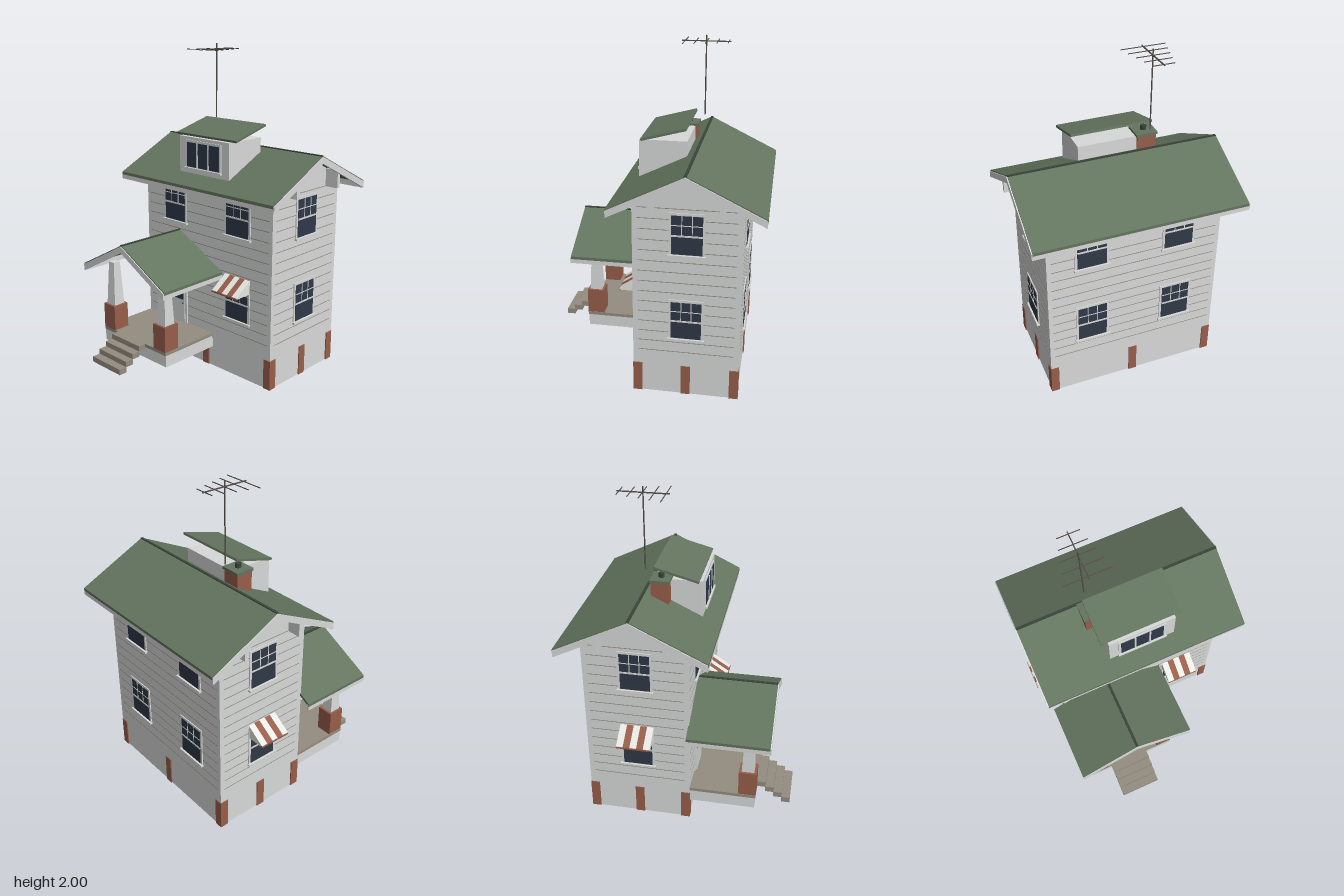
import * as THREE from 'three';

const mat = (name, color) => {
  const m = new THREE.MeshStandardMaterial({ color });
  m.name = name;
  return m;
};

export function createModel() {
  const wall = mat('pale wall', 0xd8dad9);
  const roof = mat('green shingle', 0x64755f);
  const ridge = mat('dark ridge', 0x39443a);
  const brick = mat('brick', 0x985e4a);
  const stone = mat('stone tan', 0x948d80);
  const glass = mat('dark glass', 0x2f3947);
  const metal = mat('dark metal', 0x55504c);
  const canvas = mat('white canvas', 0xe9e9e5);

  const house = new THREE.Group();
  house.name = 'house';

  const add = (parent, name, geo, material, x = 0, y = 0, z = 0) => {
    const m = new THREE.Mesh(geo, material);
    m.name = name;
    m.position.set(x, y, z);
    parent.add(m);
    return m;
  };
  // box given by its minimum and maximum corners
  const box = (parent, name, material, x0, x1, y0, y1, z0, z1) =>
    add(parent, name, new THREE.BoxGeometry(x1 - x0, y1 - y0, z1 - z0), material,
      (x0 + x1) / 2, (y0 + y1) / 2, (z0 + z1) / 2);
  const group = (parent, name, x, y, z, turn = 0) => {
    const g = new THREE.Group();
    g.name = name;
    g.position.set(x, y, z);
    g.rotation.y = turn;
    parent.add(g);
    return g;
  };
  const prism = (points, depth) => new THREE.ExtrudeGeometry(
    new THREE.Shape(points.map(p => new THREE.Vector2(...p))), { depth, bevelEnabled: false });
  const chevron = (half, top, eave, t, depth) => prism(
    [[-half, eave], [-half, eave - t], [0, top - t], [half, eave - t], [half, eave], [0, top]], depth);

  // gable roof running along local z from z0 to z1
  function gableRoof(g, half, top, eave, z0, z1, ends) {
    const t = 0.018;
    add(g, 'roofSlopes', chevron(half, top, eave, t, z1 - z0), roof, 0, 0, z0);
    for (const end of ends)
      add(g, 'rakeBoard', chevron(half - 0.003, top - 0.006, eave - 0.006, 0.04, 0.014), wall, 0, 0, end > 0 ? z1 - 0.008 : z0 - 0.006);
    for (const s of [-1, 1]) {
      const x = s * (half - 0.008);
      box(g, 'eaveBoard', wall, x - 0.006, x + 0.006, eave - 0.046, eave - 0.004, z0, z1);
    }
    box(g, 'ridgeCap', ridge, -0.008, 0.008, top - 0.008, top + 0.001, z0, z1);
  }

  // window facing local +z, origin at the centre of its lower edge
  function sashWindow(g, w, h) {
    box(g, 'windowFrame', wall, -w / 2 - 0.014, w / 2 + 0.014, -0.01, h + 0.014, 0, 0.006);
    box(g, 'windowGlass', glass, -w / 2, w / 2, 0, h, 0.004, 0.008);
    box(g, 'windowSill', wall, -w / 2 - 0.02, w / 2 + 0.02, -0.015, -0.003, 0, 0.018);
  }
  function houseWindow(x, y, z, turn) {
    const g = group(house, 'window', x, y, z, turn);
    const w = 0.175, h = 0.23;
    sashWindow(g, w, h);
    box(g, 'meetingRail', wall, -w / 2, w / 2, 0.106, 0.116, 0, 0.011);
    box(g, 'crossBar', wall, -w / 2, w / 2, 0.17, 0.175, 0, 0.01);
    for (const s of [-1, 1])
      box(g, 'uprightBar', wall, s * w / 6 - 0.0025, s * w / 6 + 0.0025, 0.11, h, 0, 0.01);
  }
  // striped awning sloping out along local +z
  function awning(x, y, z, turn) {
    const g = group(house, 'awning', x, y, z, turn);
    for (let i = 0; i < 5; i++) {
      const geo = prism([[0, 0], [0.115, 0], [0.115, 0.008], [0, 0.085]], 0.04);
      geo.rotateY(-Math.PI / 2);
      add(g, 'awningStripe', geo, i % 2 ? brick : canvas, -0.06 + i * 0.04, 0, 0);
    }
    box(g, 'awningHem', brick, -0.1, 0.1, -0.004, 0.005, 0.108, 0.118);
  }

  // main walls with gable ends
  const Z = -0.235, HX = 0.53, HZ = 0.31;
  const body = group(house, 'mainBody', 0, 0, Z, Math.PI / 2);
  add(body, 'walls', prism([[-HZ, 0.19], [HZ, 0.19], [HZ, 1.225], [0, 1.378], [-HZ, 1.225]], 2 * HX), wall, 0, 0, -HX);
  gableRoof(body, 0.437, 1.4, 1.187, -0.632, 0.632, [-1, 1]);
  for (const sx of [-1, 1]) for (const s of [-1, 1]) {
    const x = s * 0.195, z = sx * 0.57;
    box(body, 'eaveBracket', wall, x - 0.012, x + 0.012, 1.175, 1.285, z - 0.045, z + 0.045);
  }

  // foundation with brick piers
  box(house, 'foundation', wall, -0.525, 0.525, 0, 0.19, Z - 0.305, Z + 0.305);
  for (const x of [-1, 0, 1]) for (const z of [-1, 0, 1])
    if (x || z) {
      const px = x * 0.507, pz = Z + z * 0.285;
      box(house, 'foundationPier', brick, px - 0.025, px + 0.025, 0, 0.188, pz - 0.027, pz + 0.027);
    }

  // clapboard lines
  for (let i = 0; i < 15; i++) {
    const y = 0.283 + i * 0.0638;
    if (i < 14) for (const s of [-1, 1])
      box(house, 'clapboardLine', stone, -0.505, 0.505, y - 0.002, y + 0.002, Z + s * HZ - 0.001, Z + s * HZ + 0.001);
    for (const s of [-1, 1])
      box(house, 'clapboardLine', stone, s * HX - 0.001, s * HX + 0.001, y - 0.002, y + 0.002, Z - 0.28, Z + 0.28);
  }

  // windows on all four sides
  for (const y of [0.38, 0.91]) {
    for (const s of [-1, 1]) {
      houseWindow(s * HX, y, Z, s * Math.PI / 2);
      houseWindow(s * 0.265, y, Z - HZ, Math.PI);
      if (y > 0.5 || s > 0) houseWindow(s * 0.265, y, Z + HZ, 0);
    }
  }
  awning(0.265, 0.57, Z + HZ, 0);
  awning(-HX, 0.57, Z, -Math.PI / 2);

  // front door
  box(house, 'doorFrame', wall, -0.358, -0.165, 0.225, 0.61, 0.075, 0.085);
  box(house, 'door', wall, -0.342, -0.18, 0.225, 0.595, 0.08, 0.09);
  box(house, 'doorGlass', glass, -0.333, -0.19, 0.385, 0.58, 0.088, 0.093);
  add(house, 'doorKnob', new THREE.SphereGeometry(0.006, 10, 8), metal, -0.192, 0.36, 0.094);

  // porch
  const PX = -0.2325;
  box(house, 'porchBase', wall, -0.52, 0.055, 0.13, 0.205, 0.07, 0.473);
  box(house, 'porchDeck', stone, -0.522, 0.057, 0.205, 0.225, 0.07, 0.477);
  for (const s of [-1, 1]) {
    const x = PX + s * 0.235, z = 0.425;
    box(house, 'porchPedestal', brick, x - 0.052, x + 0.052, 0.225, 0.385, z - 0.053, z + 0.053);
    const column = new THREE.CylinderGeometry(0.024 * Math.SQRT2, 0.038 * Math.SQRT2, 0.28, 4, 1).toNonIndexed();
    column.rotateY(Math.PI / 4);
    column.computeVertexNormals();
    add(house, 'porchColumn', column, wall, x, 0.525, z);
  }
  const porch = group(house, 'porchRoof', PX, 0, 0);
  gableRoof(porch, 0.373, 0.853, 0.655, 0.07, 0.555, [1]);

  // steps
  for (let i = 0; i < 4; i++)
    box(house, 'step', stone, -0.39, -0.13, 0.19 - i * 0.0335, 0.225 - i * 0.0335, 0.473 + i * 0.0515, 0.526 + i * 0.0515);

  // dormer
  box(house, 'dormerBody', wall, -0.2, 0.21, 1.24, 1.462, -0.185, 0.095);
  const slab = add(house, 'dormerRoof', new THREE.BoxGeometry(0.49, 0.014, 0.27), roof, 0.005, 1.506, -0.052);
  slab.rotation.x = 0.263;
  const dormerWindow = group(house, 'dormerWindow', 0.003, 1.28, 0.095);
  sashWindow(dormerWindow, 0.265, 0.15);
  for (const s of [-1, 1])
    box(dormerWindow, 'mullion', wall, s * 0.046 - 0.005, s * 0.046 + 0.005, 0, 0.15, 0, 0.012);

  // chimney
  box(house, 'chimney', brick, -0.263, -0.147, 1.28, 1.462, -0.195, -0.092);
  box(house, 'chimneyCap', roof, -0.27, -0.14, 1.46, 1.476, -0.203, -0.085);
  add(house, 'chimneyPot', new THREE.CylinderGeometry(0.018, 0.018, 0.03, 12), ridge, -0.205, 1.488, -0.143);

  // roof antenna
  const antenna = group(house, 'antenna', -0.205, 0, Z);
  add(antenna, 'mast', new THREE.CylinderGeometry(0.004, 0.004, 0.48, 8), metal, 0, 1.76, 0);
  box(antenna, 'boom', metal, -0.003, 0.003, 1.962, 1.968, -0.147, 0.147);
  for (let i = 0; i < 5; i++) {
    const half = 0.065 + i * 0.0172, z = -0.133 + i * 0.065;
    box(antenna, 'antennaRod', metal, -half, half, 1.963, 1.967, z - 0.002, z + 0.002);
  }
  return house;
}
